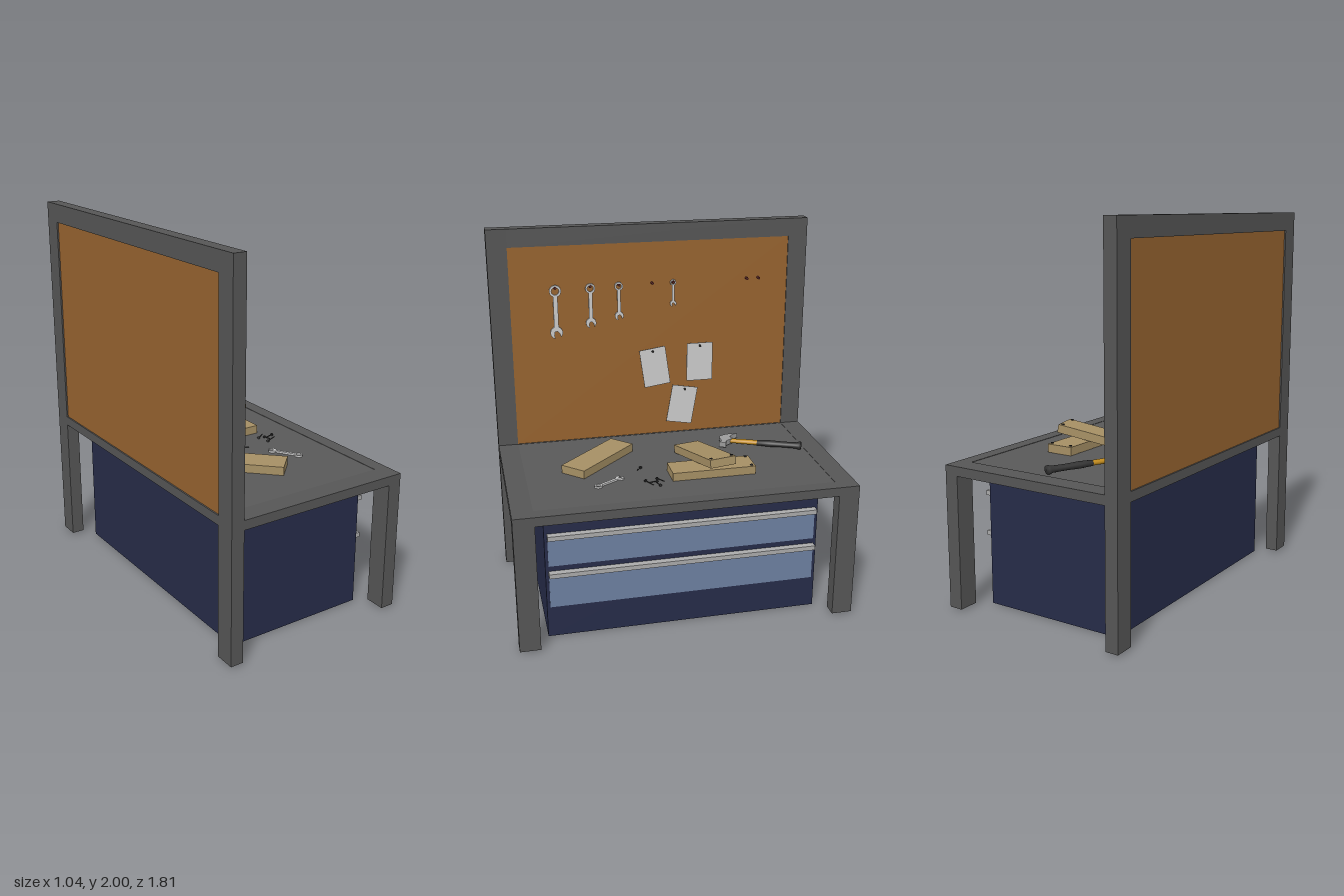
import * as THREE from 'three';

const STEEL = 0x555555, WOOD = 0xa58f64, BOARD = 0x96632f, NAVY = 0x262b48, BLUE = 0x6c80a0, DARK = 0x333333;
const TOP = 0.765; // work surface height

function add(parent, name, geo, color = 0xcccccc, flat = false) {
  const mesh = new THREE.Mesh(geo, new THREE.MeshStandardMaterial({ color, flatShading: flat }));
  mesh.name = name;
  parent.add(mesh);
  return mesh;
}

// Box given by its min and max on each axis
function block(parent, name, [x0, x1], [y0, y1], [z0, z1], color) {
  const m = add(parent, name, new THREE.BoxGeometry(x1 - x0, y1 - y0, z1 - z0), color);
  m.position.set((x0 + x1) / 2, (y0 + y1) / 2, (z0 + z1) / 2);
  return m;
}

function group(parent, name) {
  const g = new THREE.Group();
  g.name = name;
  parent.add(g);
  return g;
}

// Combination wrench: ring at the origin, open jaw towards -y, overall length 1
function wrenchGeometry(length) {
  const s = new THREE.Shape(), P = Math.PI, tilt = 0.26, jy = -0.785;
  const jaw = (x, y) => s.lineTo(x * Math.cos(tilt) - y * Math.sin(tilt), jy + x * Math.sin(tilt) + y * Math.cos(tilt));
  s.absarc(0, 0, 0.11, -P / 2 + 0.38, 1.5 * P - 0.38, false);
  s.absarc(0, jy, 0.115, P / 2 + 0.38, 1.5 * P - 0.5 + tilt, false);
  jaw(-0.05, -0.03);
  jaw(-0.025, 0.025);
  jaw(0.025, 0.025);
  jaw(0.05, -0.03);
  s.absarc(0, jy, 0.115, -P / 2 + 0.5 + tilt, P / 2 - 0.38, false);
  s.closePath();
  const hole = new THREE.Path();
  hole.absarc(0, 0, 0.07, 0, 2 * P, true);
  s.holes.push(hole);
  const geo = new THREE.ExtrudeGeometry(s, { depth: 1, bevelEnabled: false, curveSegments: 12 });
  return geo.scale(length, length, 0.01);
}

// Nail standing along y with its head at the top
function nail(parent, length) {
  const g = group(parent, 'nail');
  add(g, 'nailShank', new THREE.CylinderGeometry(0.003, 0.002, length, 8), DARK).position.y = -length / 2;
  add(g, 'nailHead', new THREE.CylinderGeometry(0.008, 0.008, 0.004, 10), DARK);
  return g;
}

function plank(parent, x, y, z, yaw, pitch, nailed) {
  const g = group(parent, 'plank');
  add(g, 'plankWood', new THREE.BoxGeometry(0.455, 0.045, 0.15), WOOD);
  if (nailed) for (const s of [-1, 1]) nail(g, 0.04).position.set(0.208, 0.026, s * 0.06);
  g.position.set(x, y, z);
  g.rotation.set(0, yaw, pitch);
}

function buildFrame(root) {
  const g = group(root, 'benchFrame');
  for (const s of [-1, 1]) {
    const z = [s * 0.848 - 0.055, s * 0.848 + 0.055];
    block(g, 'rearPost', [-0.52, -0.45], [0.01, 2], z, STEEL);
    block(g, 'frontLeg', [0.445, 0.52], [0.01, 0.715], z, STEEL);
    block(g, 'sideRail', [-0.45, 0.52], [0.715, TOP], z, STEEL);
  }
  const inner = [-0.793, 0.793];
  block(g, 'frontRail', [0.445, 0.52], [0.715, TOP], inner, STEEL);
  block(g, 'rearRail', [-0.52, -0.45], [0.715, TOP], inner, STEEL);
  block(g, 'topRail', [-0.52, -0.45], [1.9, 2], inner, STEEL);
  block(g, 'pegBoard', [-0.512, -0.456], [TOP, 1.9], inner, BOARD);
  block(g, 'worktopMat', [-0.45, 0.445], [0.755, 0.763], inner, 0x595959);
  block(g, 'worktopBoard', [-0.45, 0.445], [0.735, 0.755], inner, BOARD);
}

function buildCabinet(root) {
  const g = group(root, 'cabinet');
  block(g, 'cabinetBody', [-0.4, 0.387], [0, 0.665], [-0.727, 0.742], NAVY);
  for (const [y0, y1] of [[0.415, 0.6], [0.175, 0.385]]) {
    block(g, 'drawerFront', [0.38, 0.391], [y0, y1], [-0.71, 0.725], BLUE);
    block(g, 'drawerHandle', [0.388, 0.425], [y1 - 0.024, y1 + 0.001], [-0.711, 0.726], 0xaaaaaa);
  }
}

// Things hung on the board, laid out in its own plane: x = -z of the bench
function buildWall(root) {
  const g = group(root, 'wallItems');
  g.position.x = -0.456;
  g.rotation.y = Math.PI / 2;
  for (const x of [-0.545, -0.35, -0.19, 0, 0.12, 0.55, 0.62]) {
    const peg = add(g, 'peg', new THREE.CylinderGeometry(0.007, 0.007, 0.026, 12), 0x5a2626);
    peg.rotation.x = Math.PI / 2;
    peg.position.set(x, 1.67, 0.013);
  }
  for (const [x, len] of [[-0.545, 0.3], [-0.35, 0.25], [-0.19, 0.215], [0.12, 0.155]]) {
    add(g, 'hangingWrench', wrenchGeometry(len)).position.set(x, 1.685 - 0.11 * len, 0.008);
  }
  for (const [x, y, turn] of [[0.0125, 1.178, 0.14], [0.278, 1.193, 0], [0.1735, 0.937, -0.17]]) {
    const note = group(g, 'paperNote');
    note.position.set(x, y, 0.014);
    note.rotation.z = turn;
    add(note, 'paper', new THREE.BoxGeometry(0.153, 0.226, 0.002));
    const pin = add(note, 'pin', new THREE.CylinderGeometry(0.006, 0.006, 0.028, 10), DARK);
    pin.rotation.x = Math.PI / 2;
    pin.position.y = 0.096;
  }
}

function buildHammer(root) {
  const g = group(root, 'hammer');
  // Handle profiles: radius and distance from the head
  const handle = group(g, 'hammerHandle');
  handle.position.set(-0.19, 0.787, -0.385);
  handle.rotation.y = -0.416;
  const lathe = (name, pts, color) => {
    const m = add(handle, name, new THREE.LatheGeometry(pts.map(p => new THREE.Vector2(...p)), 20), color);
    m.rotation.x = -Math.PI / 2;
    m.scale.z = 0.75;
  };
  lathe('handleShaft', [[0, 0], [0.015, 0], [0.018, 0.1], [0.018, 0.175]], 0xc08a1c);
  lathe('handleGrip', [[0, 0.17], [0.02, 0.17], [0.024, 0.24], [0.021, 0.32], [0.023, 0.395],
    [0.029, 0.408], [0.029, 0.42], [0, 0.424]], DARK);
  // Head outline in plan: face, neck, then curved claw
  const s = new THREE.Shape();
  s.moveTo(-0.143, 0.322);
  s.lineTo(-0.125, 0.358);
  s.lineTo(-0.15, 0.366);
  s.lineTo(-0.165, 0.385);
  s.lineTo(-0.185, 0.418);
  s.lineTo(-0.212, 0.404);
  s.quadraticCurveTo(-0.24, 0.42, -0.255, 0.46);
  s.quadraticCurveTo(-0.266, 0.395, -0.233, 0.347);
  s.lineTo(-0.2, 0.34);
  s.lineTo(-0.165, 0.342);
  s.closePath();
  const head = add(g, 'hammerHead', new THREE.ExtrudeGeometry(s, {
    depth: 0.024, bevelSize: 0.003, bevelThickness: 0.004, bevelSegments: 2, bevelOffset: -0.003,
  }), 0x9a9a9a);
  head.rotation.x = -Math.PI / 2;
  head.position.y = TOP + 0.009;
}

function buildWorktopItems(root) {
  const g = group(root, 'worktopItems');
  plank(g, 0.175, TOP + 0.0225, -0.19, Math.PI / 2, 0, true);
  plank(g, 0.071, 0.828, -0.177, 0.213, 0.175, true);
  plank(g, -0.0975, TOP + 0.0225, 0.3825, -Math.PI / 4, 0, false);
  buildHammer(g);
  const wrench = add(g, 'looseWrench', wrenchGeometry(0.19));
  wrench.position.set(0.235, TOP, 0.433);
  wrench.rotation.set(-Math.PI / 2, 0, Math.atan2(-0.524, -0.852));
  // Loose nails lying flat, from head to tip (x, z)
  for (const [x0, z0, x1, z1] of [[0.045, 0.172, 0.08, 0.198], [0.205, 0.115, 0.25, 0.085],
    [0.295, 0.115, 0.25, 0.13], [0.24, 0.12, 0.25, 0.168], [0.22, 0.18, 0.285, 0.15]]) {
    const n = nail(g, Math.hypot(x1 - x0, z1 - z0));
    n.position.set(x0, TOP + 0.006, z0);
    n.quaternion.setFromUnitVectors(new THREE.Vector3(0, -1, 0), new THREE.Vector3(x1 - x0, 0, z1 - z0).normalize());
  }
}

export function createModel() {
  const root = new THREE.Group();
  root.name = 'workbench';
  buildFrame(root);
  buildCabinet(root);
  buildWall(root);
  buildWorktopItems(root);
  return root;
}
